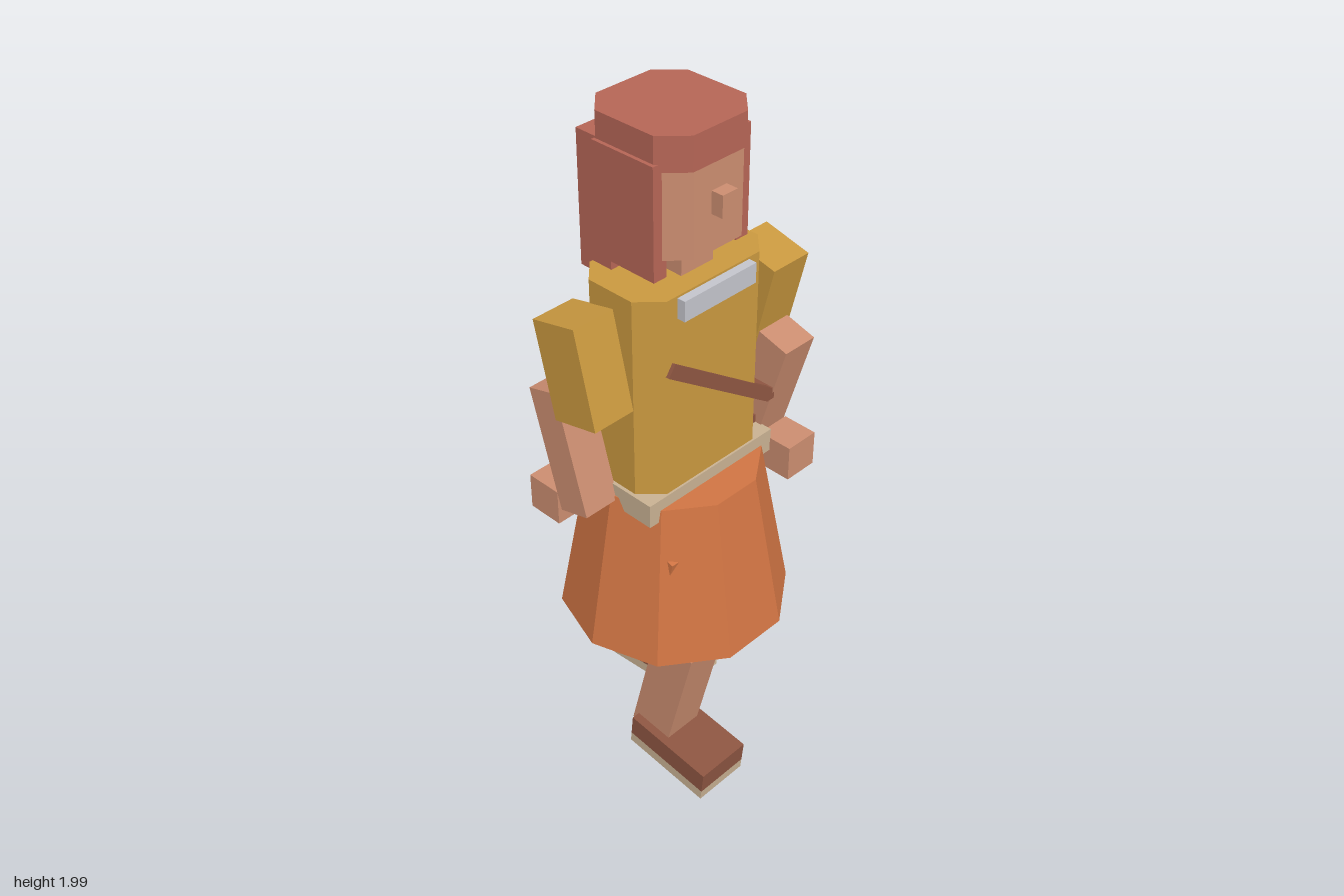
import * as THREE from 'three';

const mat = (name, color) => Object.assign(new THREE.MeshStandardMaterial({ color }), { name });

export function createModel() {
  const model = new THREE.Group();
  model.name = 'figure';
  const skin = mat('skin', 0xcb8d70);
  const hair = mat('hair', 0xb56556);
  const shirt = mat('shirt', 0xc9983f);
  const orange = mat('skirt orange', 0xd07443);
  const leather = mat('leather', 0x8d5541);
  const beige = mat('beige trim', 0xc8b192);
  const white = mat('collar white', 0xc3c4cb);

  const CZ = -0.045; // depth of the body's centre line
  const rad = THREE.MathUtils.degToRad;

  const add = (name, geometry, material, parent = model) => {
    const mesh = new THREE.Mesh(geometry, material);
    mesh.name = name;
    parent.add(mesh);
    return mesh;
  };

  // Box given by its extents
  const box = (name, material, [x0, x1], [y0, y1], [z0, z1]) => {
    const mesh = add(name, new THREE.BoxGeometry(x1 - x0, y1 - y0, z1 - z0), material);
    mesh.position.set((x0 + x1) / 2, (y0 + y1) / 2, (z0 + z1) / 2);
    return mesh;
  };

  // Upright prism with chamfered corners
  const prism = (name, material, hx, [y0, y1], [z0, z1], c) => {
    const hz = (z1 - z0) / 2;
    const pts = [
      [hx, -hz + c], [hx, hz - c], [hx - c, hz], [-hx + c, hz],
      [-hx, hz - c], [-hx, -hz + c], [-hx + c, -hz], [hx - c, -hz],
    ].map(([x, y]) => new THREE.Vector2(x, y));
    const geo = new THREE.ExtrudeGeometry(new THREE.Shape(pts), { depth: y1 - y0, bevelEnabled: false });
    geo.rotateX(-Math.PI / 2);
    const mesh = add(name, geo, material);
    mesh.position.set(0, y0, (z0 + z1) / 2);
    return mesh;
  };

  // Head, nose and neck
  prism('head', skin, 0.142, [1.68, 1.92], [-0.2, 0.097], 0.06);
  box('nose', skin, [-0.025, 0.025], [1.78, 1.84], [0.09, 0.132]);
  box('neck', skin, [-0.055, 0.055], [1.59, 1.69], [-0.115, 0.03]);

  // Hair: cap, back block and side panels
  prism('hairCap', hair, 0.152, [1.91, 2.0], [-0.214, 0.099], 0.063);
  box('hairBack', hair, [-0.152, 0.152], [1.57, 1.935], [-0.217, -0.11]);
  for (const s of [1, -1]) {
    box('hairSide', hair, s > 0 ? [0.12, 0.162] : [-0.162, -0.12], [1.63, 1.93], [-0.155, 0.045]);
  }

  // Torso, collar and belt
  prism('torso', shirt, 0.22, [0.99, 1.598], [-0.175, 0.086], 0.058);
  box('collar', white, [-0.125, 0.125], [1.535, 1.592], [0.08, 0.11]);
  box('belt', beige, [-0.23, 0.23], [0.95, 1.02], [-0.185, 0.092]);

  // Ten-sided skirt
  const skirt = add('skirt',
    new THREE.CylinderGeometry(0.237, 0.325, 0.475, 10, 1, false, Math.PI / 2).toNonIndexed(), orange);
  skirt.geometry.computeVertexNormals();
  skirt.position.set(0, 0.7475, CZ);

  // Shoulder strap, bag and clasp
  for (const z of [0.087, -0.176]) {
    const strap = add('strap', new THREE.BoxGeometry(0.455, 0.038, 0.018), leather);
    strap.position.set(0.033, 1.27, z);
    strap.rotation.z = rad(-35);
  }
  box('strapSide', leather, [0.205, 0.232], [1.125, 1.162], [-0.185, 0.095]);
  box('bag', leather, [0.21, 0.31], [0.85, 1.045], [-0.197, 0.04]);
  box('bagClasp', beige, [0.305, 0.325], [0.945, 1.002], [-0.117, -0.043]);

  // Limbs: the right side repeats the left with the stride reversed
  for (const s of [1, -1]) {
    const side = s > 0 ? 'left' : 'right';
    const limb = (part, material, size, [x, y, z], degrees) => {
      const mesh = add(side + part, new THREE.BoxGeometry(...size), material);
      mesh.position.set(s * x, y, CZ + s * (z - CZ));
      mesh.rotation.x = s * rad(degrees);
      return mesh;
    };
    limb('Sleeve', shirt, [0.13, 0.275, 0.148], [0.283, 1.4, -0.014], 13.4);
    limb('Forearm', skin, [0.11, 0.355, 0.1], [0.28, 1.13, 0.039], 16);
    limb('Hand', skin, [0.104, 0.105, 0.106], [0.28, 0.938, 0.109], 0);
    limb('Thigh', orange, [0.16, 0.42, 0.168], [0.119, 0.646, -0.099], -14);
    limb('Shin', skin, [0.12, 0.43, 0.137], [0.118, 0.3, -0.165], -13.5);

    // Shoe with a pale sole
    const shoe = new THREE.Group();
    shoe.name = side + 'Shoe';
    shoe.position.set(s * 0.118, 0.071, CZ + s * (-0.209 - CZ));
    shoe.rotation.x = s * rad(-5.6);
    model.add(shoe);
    add('shoeUpper', new THREE.BoxGeometry(0.17, 0.07, 0.287), leather, shoe).position.y = 0.0165;
    add('shoeSole', new THREE.BoxGeometry(0.17, 0.033, 0.287), beige, shoe).position.y = -0.035;
  }
  return model;
}
